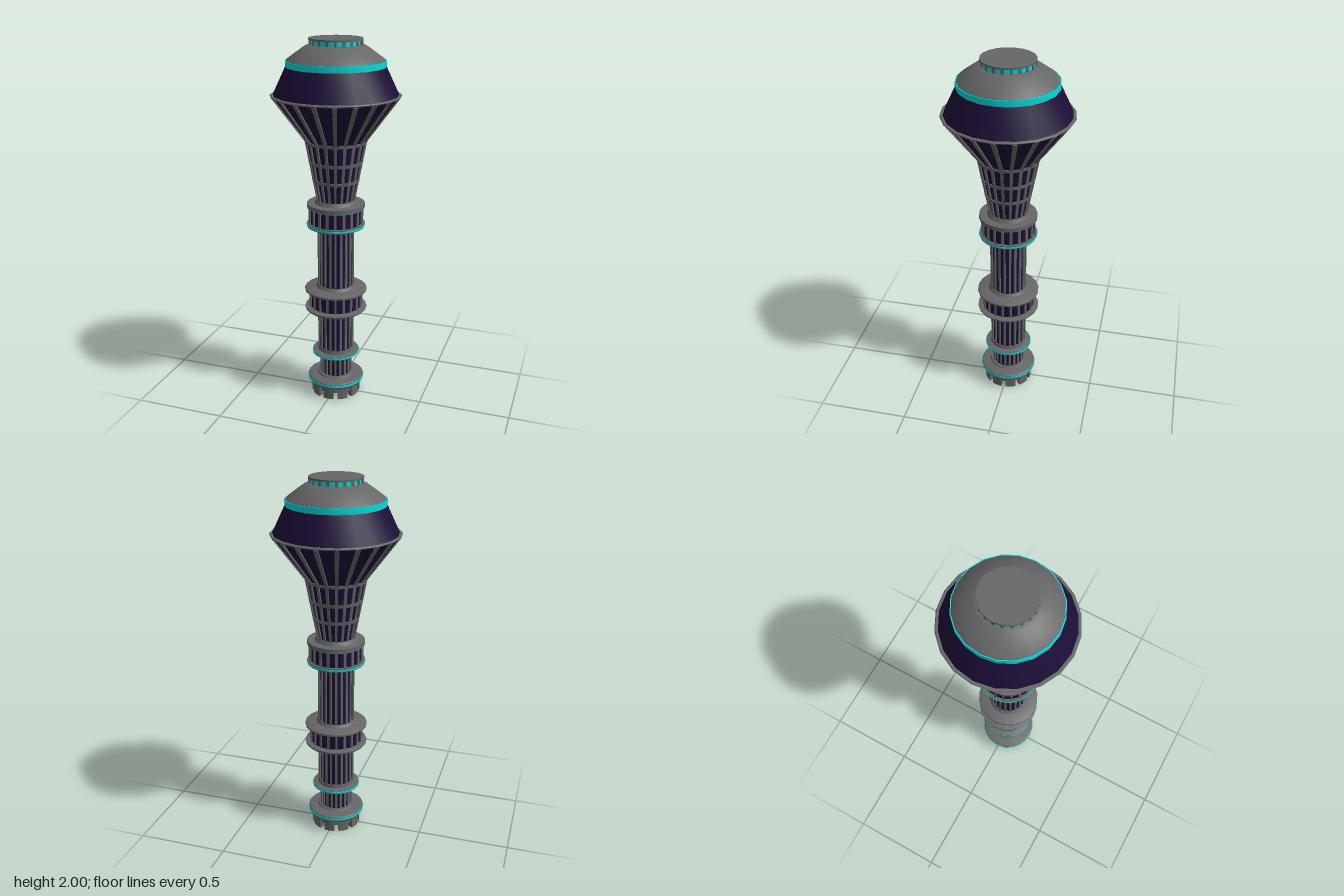
import * as THREE from 'three';
import { toCreasedNormals } from 'three/addons/utils/BufferGeometryUtils.js';

const SIDES = 20;
const grey = new THREE.MeshStandardMaterial({ color: 0x666666 });
const glass = new THREE.MeshStandardMaterial({ color: 0x1c0e38 });
const teal = new THREE.MeshStandardMaterial({ color: 0x00dddd });

export function createModel() {
  const model = new THREE.Group();

  function add(name, geometry, material, parent = model) {
    const mesh = new THREE.Mesh(geometry, material);
    mesh.name = name;
    parent.add(mesh);
    return mesh;
  }

  // Turned part from [radius, height] pairs, listed upwards along the outside
  function turned(name, material, profile) {
    const points = profile.map(([r, y]) => new THREE.Vector2(r, y));
    return add(name, toCreasedNormals(new THREE.LatheGeometry(points, SIDES), 0.45), material);
  }

  // Plain band with closed ends
  const band = (name, material, r, y0, y1) =>
    turned(name, material, [[0, y0], [r, y0], [r, y1], [0, y1]]);

  // Circle of upright or leaning ribs, widening from w0 to w1
  function ribs(name, r0, y0, r1, y1, w0, w1 = w0, depth = 0.012) {
    const group = new THREE.Group();
    group.name = name;
    const length = Math.hypot(r1 - r0, y1 - y0);
    const geometry = new THREE.BoxGeometry(1, length, depth);
    const pos = geometry.attributes.position;
    for (let i = 0; i < pos.count; i++) pos.setX(i, pos.getX(i) * (pos.getY(i) > 0 ? w1 : w0));
    geometry.rotateX(Math.atan2(r1 - r0, y1 - y0));
    geometry.translate(0, (y0 + y1) / 2, (r0 + r1) / 2);
    for (let i = 0; i < SIDES; i++) {
      add('rib', geometry, grey, group).rotation.y = (i / SIDES) * Math.PI * 2;
    }
    model.add(group);
  }

  // Glazed section with its ribs
  function glazed(name, r0, y0, r1, y1, w0, w1) {
    turned(name + 'Glass', glass, [[r0, y0], [r1, y1]]);
    ribs(name + 'Ribs', r0, y0, r1, y1, w0, w1);
  }

  // Foot: hollow collar with a ring of teeth
  turned('footCollar', grey, [[0, 0.06], [0.108, 0.06], [0.108, 0.035], [0.128, 0.035], [0.128, 0.075], [0, 0.075]]);
  const half = 0.22;
  const sector = new THREE.Shape();
  sector.absarc(0, 0, 0.137, -half, half, false);
  sector.absarc(0, 0, 0.108, half, -half, true);
  const toothGeometry = new THREE.ExtrudeGeometry(sector, { depth: 0.075, bevelEnabled: false, curveSegments: 3 });
  toothGeometry.rotateX(-Math.PI / 2);
  const teeth = new THREE.Group();
  teeth.name = 'footTeeth';
  for (let i = 0; i < 10; i++) {
    add('tooth', toothGeometry, grey, teeth).rotation.y = Math.PI / 2 + (i / 10) * Math.PI * 2;
  }
  model.add(teeth);

  // Foot flange
  turned('footFlange', grey, [[0, 0.07], [0.15, 0.07], [0.157, 0.08], [0.157, 0.1], [0.15, 0.105], [0.105, 0.112], [0.1, 0.12], [0, 0.12]]);
  band('footLight', teal, 0.159, 0.084, 0.096);

  // Shaft sections
  glazed('lowerShaft', 0.084, 0.11, 0.084, 0.24, 0.012);
  glazed('middleShaft', 0.094, 0.27, 0.094, 0.52, 0.012);
  glazed('upperShaft', 0.094, 0.64, 0.094, 1.01, 0.012);

  // Small collar
  turned('collar', grey, [[0, 0.225], [0.09, 0.225], [0.095, 0.235], [0.125, 0.24], [0.131, 0.248], [0.131, 0.258], [0.103, 0.265], [0.1, 0.282], [0, 0.282]]);
  band('collarLight', teal, 0.133, 0.245, 0.256);

  // Lower deck
  turned('lowerDeckFloor', grey, [[0, 0.508], [0.1, 0.508], [0.165, 0.515], [0.172, 0.522], [0.172, 0.53], [0.15, 0.535], [0, 0.535]]);
  glazed('lowerDeck', 0.142, 0.53, 0.142, 0.63, 0.012);
  turned('lowerDeckRoof', grey, [[0, 0.62], [0.15, 0.62], [0.172, 0.628], [0.172, 0.638], [0.162, 0.643], [0.11, 0.648], [0.1, 0.662], [0, 0.662]]);

  // Upper deck
  turned('upperDeckFloor', grey, [[0, 0.985], [0.1, 0.985], [0.105, 1], [0.157, 1.002], [0.157, 1.022], [0, 1.022]]);
  band('upperDeckFloorLight', teal, 0.159, 1.007, 1.016);
  glazed('upperDeck', 0.142, 1.02, 0.142, 1.12, 0.014);
  turned('upperDeckRoof', grey, [[0, 1.11], [0.157, 1.11], [0.157, 1.132], [0.115, 1.134], [0.104, 1.152], [0, 1.152]]);
  band('upperDeckRoofLight', teal, 0.152, 1.106, 1.111);

  // Flared neck with hoops
  glazed('neck', 0.096, 1.14, 0.159, 1.475, 0.012, 0.016);
  for (const y of [1.26, 1.36, 1.47]) {
    const r = 0.096 + (y - 1.14) * 0.188;
    turned('neckHoop', grey, [[r - 0.004, y - 0.008], [r + 0.006, y - 0.008], [r + 0.009, y + 0.008], [r - 0.001, y + 0.008]]);
  }

  // Head: ribbed bowl, rim, sloping window and dome
  glazed('bowl', 0.159, 1.475, 0.329, 1.705, 0.016, 0.024);
  turned('rim', grey, [[0.31, 1.7], [0.335, 1.703], [0.342, 1.71], [0.338, 1.715], [0.31, 1.715]]);
  turned('headWindow', glass, [[0.328, 1.71], [0.257, 1.86], [0, 1.86]]);
  band('headLight', teal, 0.26, 1.857, 1.888);
  turned('dome', grey, [[0, 1.886], [0.257, 1.886], [0.25, 1.895], [0.205, 1.928], [0.16, 1.96], [0.14, 1.967], [0, 1.967]]);

  // Crown
  band('crownLight', teal, 0.134, 1.96, 1.995);
  ribs('crownPosts', 0.133, 1.96, 0.133, 1.995, 0.013);
  band('crownCap', grey, 0.14, 1.99, 2);

  return model;
}
